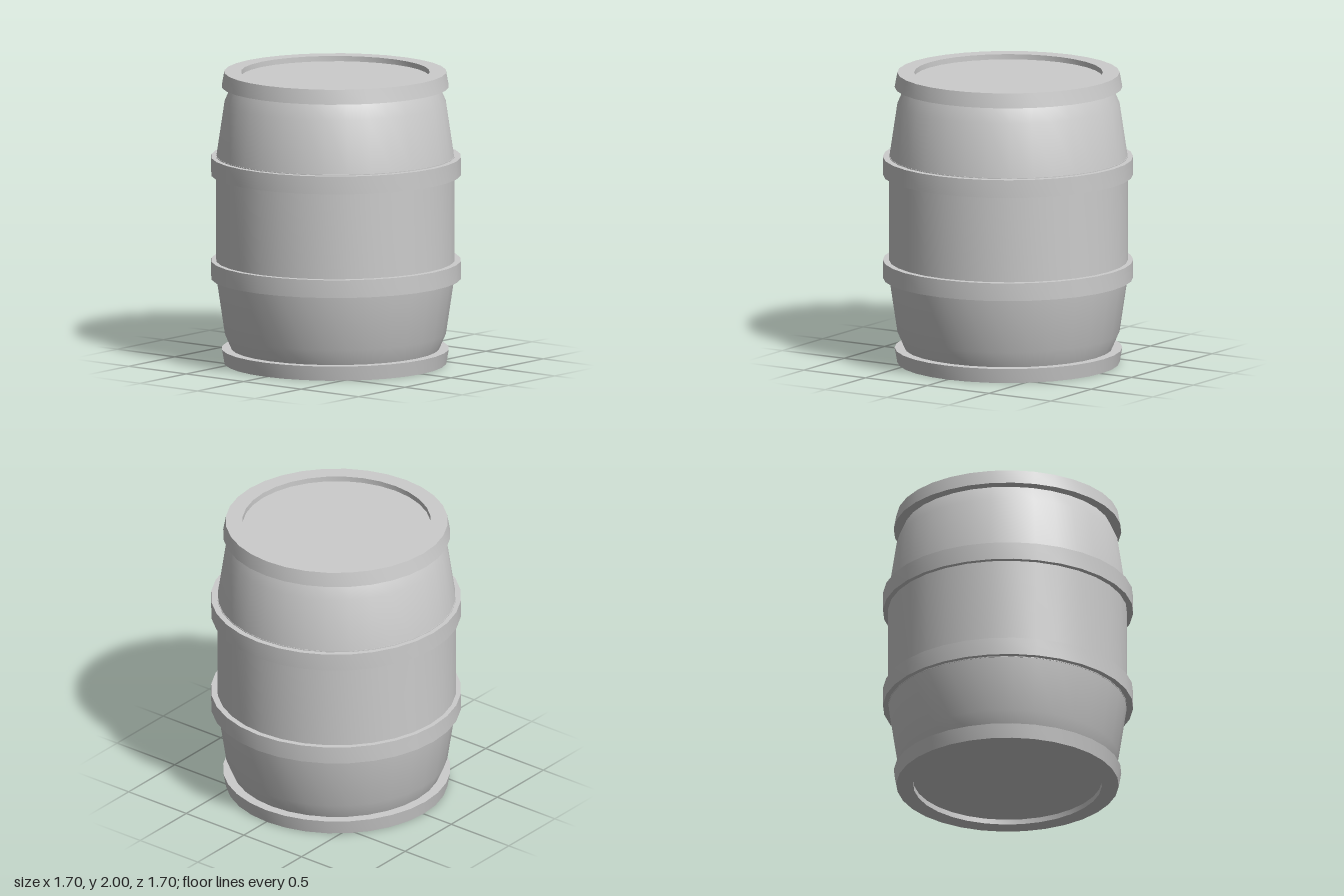
import * as THREE from 'three';
import { toCreasedNormals } from 'three/addons/utils/BufferGeometryUtils.js';

const SIDES = 32;
const material = new THREE.MeshStandardMaterial({ color: 0xcccccc });

// Revolve a [radius, height] profile, keeping hard edges crisp
function turned(name, profile) {
  const points = profile.map(([r, y]) => new THREE.Vector2(r, y));
  const geometry = toCreasedNormals(new THREE.LatheGeometry(points, SIDES), 0.5);
  const mesh = new THREE.Mesh(geometry, material);
  mesh.name = name;
  return mesh;
}

// Tapered staves, flared rim and recessed head at one end of the cask
function createEnd(name) {
  const end = new THREE.Group();
  end.name = name;
  end.add(
    turned('taperedStaves', [[0.808, 1.42], [0.753, 1.79], [0.703, 1.905]]),
    turned('rim', [[0.69, 1.9], [0.772, 1.9], [0.754, 2], [0.64, 2], [0.64, 1.96]]),
    turned('head', [[0.64, 1.964], [0, 1.964]])
  );
  return end;
}

export function createModel() {
  const barrel = new THREE.Group();
  barrel.name = 'barrel';

  // Wooden body: straight middle with a matching end above and below
  const body = new THREE.Group();
  body.name = 'body';
  body.position.x = -0.006;
  body.add(turned('middleStaves', [[0.811, 0.58], [0.811, 1.425], [0.8, 1.425]]));
  body.add(createEnd('topEnd'));
  const bottom = createEnd('bottomEnd');
  bottom.rotation.x = Math.PI;
  bottom.position.y = 2;
  body.add(bottom);
  barrel.add(body);

  // Two hoops around the belly
  for (const [name, y0, y1] of [['lowerHoop', 0.585, 0.707], ['upperHoop', 1.297, 1.42]]) {
    barrel.add(turned(name, [[0.79, y0], [0.849, y0], [0.849, y1], [0.79, y1]]));
  }
  return barrel;
}
